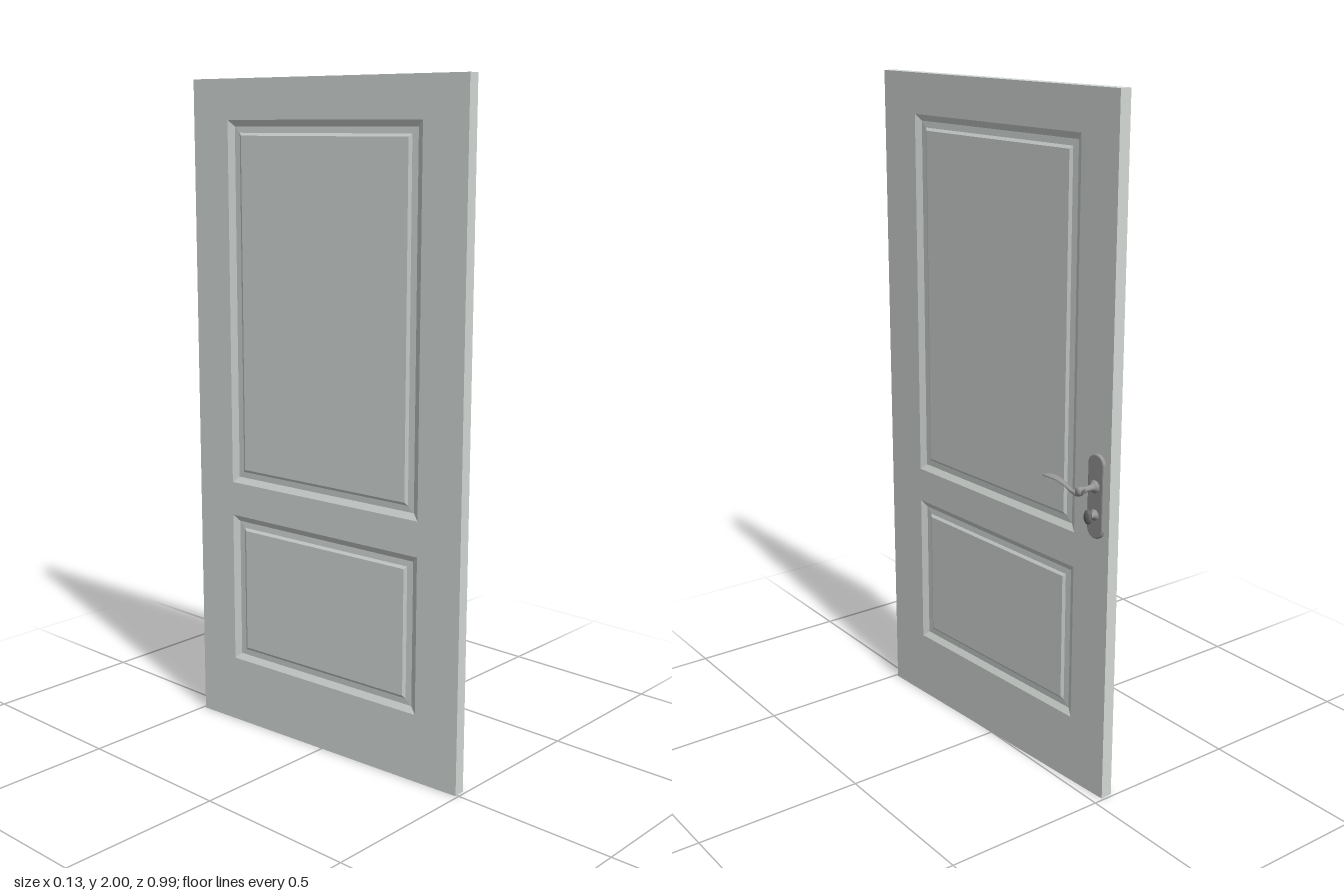
import * as THREE from 'three';

const paint = new THREE.MeshStandardMaterial({ color: 0xd3d9d6 });
paint.name = 'pale grey paint';
const metal = new THREE.MeshStandardMaterial({ color: 0x989898 });
metal.name = 'brushed metal';
const dark = new THREE.MeshStandardMaterial({ color: 0x6c6c6c });
dark.name = 'dark metal';

const H = 2, L = 0.986, T = 0.037;
// panel openings: bottom and top heights
const PANELS = [[0.207, 0.68], [0.785, 1.882]];
const HALF = 0.352, SHIFT = 0.005;

function mesh(name, geometry, material) {
  const m = new THREE.Mesh(geometry, material);
  m.name = name;
  return m;
}

// skin through closed rings of points, with both ends optionally capped
function skin(rings, capStart, capEnd) {
  const n = rings[0].length, pos = [], idx = [];
  rings.forEach(r => r.forEach(p => pos.push(...p)));
  for (let i = 0; i < rings.length - 1; i++) {
    for (let j = 0; j < n; j++) {
      const a = i * n + j, b = i * n + (j + 1) % n;
      idx.push(a, b, b + n, a, b + n, a + n);
    }
  }
  const e = (rings.length - 1) * n;
  for (let j = 1; j < n - 1; j++) {
    if (capStart) idx.push(0, j + 1, j);
    if (capEnd) idx.push(e, e + j, e + j + 1);
  }
  const g = new THREE.BufferGeometry();
  g.setAttribute('position', new THREE.Float32BufferAttribute(pos, 3));
  g.setIndex(idx);
  return g;
}

// bevelled recess, groove and raised field, facing +z
function panelGeometry(y0, y1, cx) {
  const profile = [[0, 0], [0.02, -0.01], [0.04, -0.009], [0.049, -0.004]];
  const rings = profile.map(([inset, d]) => {
    const w = HALF - inset, a = y0 + inset * 0.92, b = y1 - inset * 0.92, z = T / 2 + d;
    return [[cx - w, a, z], [cx + w, a, z], [cx + w, b, z], [cx - w, b, z]];
  });
  const g = skin(rings, false, true).toNonIndexed();
  g.computeVertexNormals();
  return g;
}

function rectPath(path, x0, x1, y0, y1) {
  path.moveTo(x0, y0);
  path.lineTo(x1, y0);
  path.lineTo(x1, y1);
  path.lineTo(x0, y1);
  path.closePath();
  return path;
}

function buildLeaf() {
  const leaf = new THREE.Group();
  leaf.name = 'doorLeaf';
  const shape = rectPath(new THREE.Shape(), -L / 2, L / 2, 0, H);
  for (const [a, b] of PANELS) {
    shape.holes.push(rectPath(new THREE.Path(), SHIFT - HALF, SHIFT + HALF, a, b));
  }
  const frame = new THREE.ExtrudeGeometry(shape, { depth: T, bevelEnabled: false });
  frame.translate(0, 0, -T / 2).rotateY(Math.PI / 2);
  leaf.add(mesh('doorFrame', frame, paint));
  for (const side of [1, -1]) {
    PANELS.forEach(([a, b], i) => {
      const g = panelGeometry(a, b, side * SHIFT).rotateY(side * Math.PI / 2);
      leaf.add(mesh((i ? 'upper' : 'lower') + 'Panel' + (side > 0 ? 'Left' : 'Right'), g, paint));
    });
  }
  return leaf;
}

// turned part whose axis points along +x; points are [distance, radius]
function turned(points) {
  const g = new THREE.LatheGeometry(points.map(([d, r]) => new THREE.Vector2(r, d)), 20);
  return g.rotateZ(-Math.PI / 2);
}

function buildHandle() {
  const handle = new THREE.Group();
  handle.name = 'handle';
  const z = -0.446, face = T / 2;

  // long rounded backplate
  const r = 0.026, y0 = 0.8 + r, y1 = 1.036 - r;
  const s = new THREE.Shape();
  s.absarc(0, y1, r, 0, Math.PI);
  s.absarc(0, y0, r, Math.PI, Math.PI * 2);
  s.closePath();
  const plate = new THREE.ExtrudeGeometry(s, {
    depth: 0.006, bevelThickness: 0.004, bevelSize: 0.004, bevelSegments: 2, curveSegments: 12,
  });
  plate.rotateY(Math.PI / 2).translate(face, 0, z);
  handle.add(mesh('backplate', plate, metal));

  // turned spindle
  const spindle = mesh('spindle', turned([
    [0.005, 0], [0.005, 0.018], [0.015, 0.018], [0.018, 0.013], [0.025, 0.009], [0.045, 0.008],
    [0.057, 0.01], [0.064, 0.013], [0.074, 0.012], [0.078, 0.007], [0.078, 0],
  ]), metal);
  spindle.position.set(face, 0.948, z);
  handle.add(spindle);

  // curved lever: z, height, half width, half thickness
  const stations = [
    [-0.468, 0.960, 0.002, 0.003], [-0.462, 0.953, 0.005, 0.006], [-0.45, 0.943, 0.006, 0.008],
    [-0.435, 0.938, 0.006, 0.007], [-0.415, 0.942, 0.006, 0.006], [-0.39, 0.953, 0.008, 0.005],
    [-0.365, 0.961, 0.011, 0.004], [-0.34, 0.963, 0.014, 0.004], [-0.322, 0.962, 0.0145, 0.004],
    [-0.311, 0.961, 0.011, 0.003], [-0.306, 0.960, 0.004, 0.002],
  ];
  const rings = stations.map(([pz, py, w, t]) => Array.from({ length: 14 }, (_, k) => {
    const a = k / 14 * Math.PI * 2;
    return [0.0875 + w * Math.cos(a), py + t * Math.sin(a), pz];
  }));
  const lever = skin(rings, true, true);
  lever.computeVertexNormals();
  handle.add(mesh('lever', lever, metal));

  // lock turn: round collar, short stem and oval grip
  const lock = new THREE.Group();
  lock.name = 'lockTurn';
  lock.position.set(face, 0.866, z);
  lock.add(mesh('lockStem', turned([
    [0.005, 0.016], [0.013, 0.016], [0.016, 0.009], [0.03, 0.007],
  ]), metal));
  const grip = mesh('lockGrip', turned([
    [0.026, 0], [0.028, 0.016], [0.032, 0.021], [0.038, 0.021], [0.042, 0.016], [0.043, 0],
  ]), dark);
  grip.scale.z = 0.6;
  lock.add(grip);
  handle.add(lock);
  return handle;
}

export function createModel() {
  const model = new THREE.Group();
  model.name = 'door';
  // door stands slightly ajar
  const swing = new THREE.Group();
  swing.name = 'swing';
  swing.position.x = -0.018;
  swing.rotation.y = 0.0615;
  swing.add(buildLeaf(), buildHandle());
  model.add(swing);
  return model;
}
